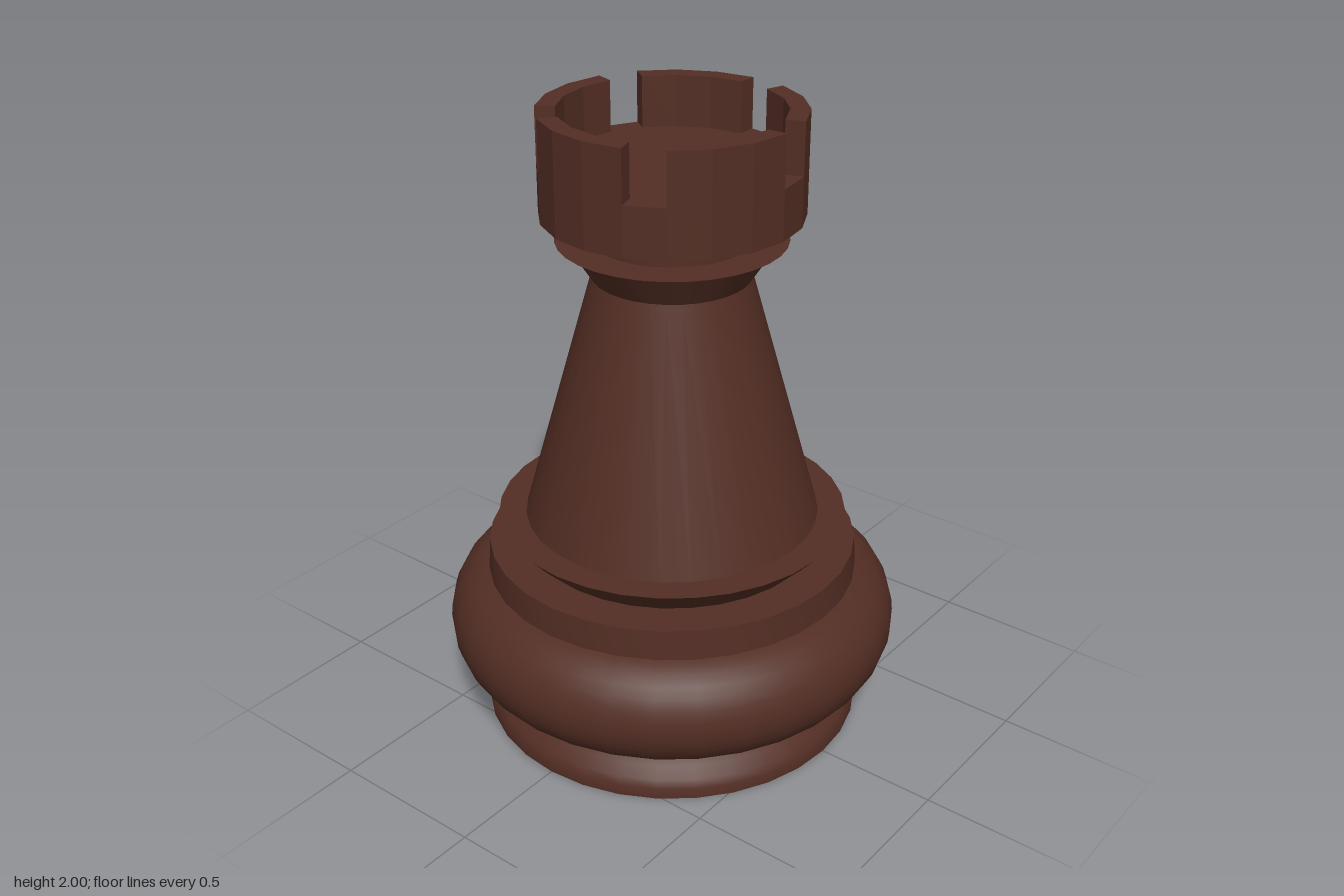
import * as THREE from 'three';
import { toCreasedNormals } from 'three/addons/utils/BufferGeometryUtils.js';

export function createModel() {
  const group = new THREE.Group();
  const wood = new THREE.MeshStandardMaterial({ color: 0x532e24 });
  wood.name = 'dark brown wood';

  const add = (name, geometry, parent = group) => {
    const mesh = new THREE.Mesh(geometry, wood);
    mesh.name = name;
    parent.add(mesh);
    return mesh;
  };

  // Turned parts: profile of [radius, height] from bottom to top
  const turned = (name, profile) => {
    const points = profile.map(([r, y]) => new THREE.Vector2(r, y));
    add(name, toCreasedNormals(new THREE.LatheGeometry(points, 32), Math.PI / 6));
  };

  turned('foot', [[0, 0], [0.613, 0], [0.613, 0.035], [0.6, 0.06], [0.57, 0.09],
    [0.53, 0.12], [0.48, 0.143], [0, 0.143]]);

  // Bulging half-round moulding
  const bulge = [[0, 0.142]];
  for (let i = 0; i <= 16; i++) {
    const a = -Math.PI / 2 + (i / 16) * Math.PI;
    bulge.push([0.538 + 0.185 * Math.cos(a), 0.327 + 0.185 * Math.sin(a)]);
  }
  bulge.push([0, 0.512]);
  turned('baseBulge', bulge);

  turned('basePlate', [[0.593, 0.5], [0.586, 0.6], [0, 0.6]]);
  turned('lowerCollar', [[0.465, 0.6], [0.5, 0.635], [0.553, 0.693], [0.4, 0.693]]);
  turned('shaft', [[0.467, 0.69], [0.243, 1.49]]);
  turned('upperCollar', [[0.243, 1.49], [0.275, 1.54], [0.307, 1.59], [0.35, 1.605], [0.2, 1.605]]);
  turned('neck', [[0.243, 1.6], [0.243, 1.69]]);

  // Faceted crown with five battlements
  const crown = new THREE.Group();
  crown.name = 'crown';
  crown.position.set(0.004, 0, 0.004);
  group.add(crown);

  const outer = 0.396, inner = 0.336, step = Math.PI / 10;
  const drum = new THREE.CylinderGeometry(outer, outer, 0.155, 20).toNonIndexed();
  drum.computeVertexNormals();
  add('crownDrum', drum, crown).position.y = 1.7625;

  // Each battlement spans three of the twenty facets
  for (let k = 0; k < 5; k++) {
    const at = (r, i) => new THREE.Vector2(r * Math.cos(i * step), r * Math.sin(i * step));
    const corners = [];
    for (let i = 1; i <= 4; i++) corners.push(at(outer, 4 * k + i));
    for (let i = 4; i >= 1; i--) corners.push(at(inner, 4 * k + i));
    const block = new THREE.ExtrudeGeometry(new THREE.Shape(corners), { depth: 0.16, bevelEnabled: false });
    block.rotateX(-Math.PI / 2);
    add('battlement', block, crown).position.y = 1.84;
  }
  return group;
}
